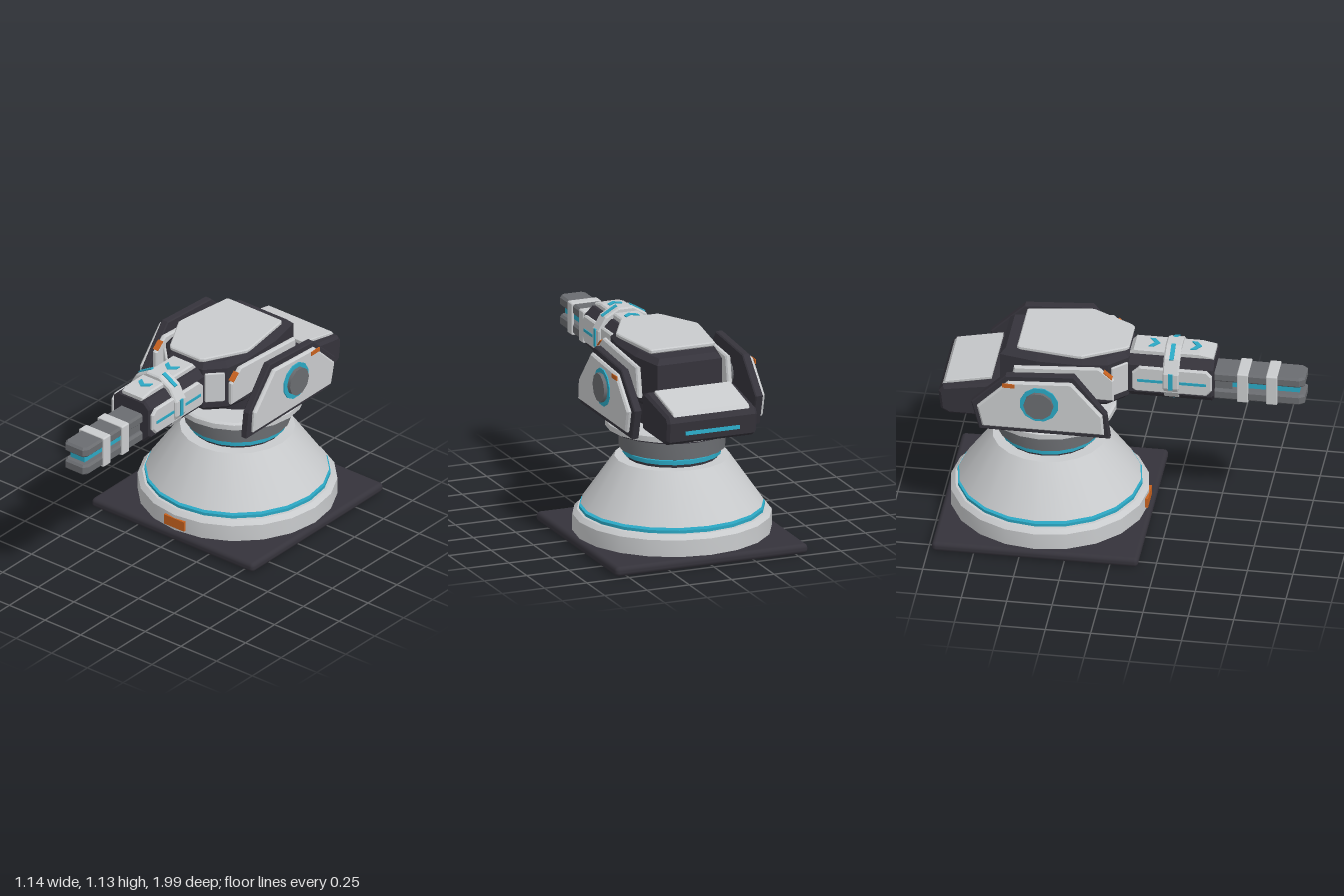
import * as THREE from 'three';
import { RoundedBoxGeometry } from 'three/addons/geometries/RoundedBoxGeometry.js';
import { toCreasedNormals } from 'three/addons/utils/BufferGeometryUtils.js';

const mat = (name, color) => Object.assign(new THREE.MeshStandardMaterial({ color }), { name });

export function createModel() {
  const light = mat('light grey', 0xc9cbcd), dark = mat('charcoal', 0x35333b);
  const grey = mat('mid grey', 0x6a6c70), teal = mat('teal', 0x2ba8c4), orange = mat('orange', 0xc8621f);
  const model = new THREE.Group();
  model.name = 'turret';
  const CZ = -0.412; // turning axis

  const add = (name, geo, m, x = 0, y = 0, z = 0) => {
    const mesh = new THREE.Mesh(geo, m);
    mesh.name = name;
    mesh.position.set(x, y, z);
    model.add(mesh);
    return mesh;
  };
  const box = (w, h, d) => new THREE.BoxGeometry(w, h, d);
  const rbox = (w, h, d, r) => new RoundedBoxGeometry(w, h, d, 2, r);

  // bevelled slab from an outline, centred on its depth
  const slab = (pts, depth, bevel = 0.01, hole) => {
    const shape = new THREE.Shape(pts.map(([a, b]) => new THREE.Vector2(a, b)));
    if (hole) shape.holes.push(new THREE.Path(hole.map(([a, b]) => new THREE.Vector2(a, b))));
    const g = new THREE.ExtrudeGeometry(shape, {
      depth: depth - 2 * bevel, bevelEnabled: bevel > 0, bevelSize: bevel,
      bevelThickness: bevel, bevelOffset: -bevel, bevelSegments: 1,
    });
    return g.translate(0, 0, -(depth - 2 * bevel) / 2);
  };
  const side = (...a) => slab(...a).rotateY(-Math.PI / 2); // outline in (z, y)
  const plan = (...a) => slab(...a).rotateX(Math.PI / 2);  // outline in (x, z)
  const mirrorPts = (pts) => [...pts, ...pts.map(([a, b]) => [-a, b]).reverse()];
  const ngon = (r, n) => Array.from({ length: n }, (_, i) => {
    const t = ((i + 0.5) / n) * Math.PI * 2;
    return [r * Math.cos(t), r * Math.sin(t)];
  });

  // pedestal: stacked turned parts
  const turned = (name, m, pts) => add(name, toCreasedNormals(
    new THREE.LatheGeometry(pts.map(([r, y]) => new THREE.Vector2(r, y)), 20), 0.5), m, 0, 0, CZ);
  const disc = (name, m, r, y0, y1) => turned(name, m, [[0, y0], [r, y0], [r, y1], [0, y1]]);

  add('basePlate', rbox(1.137, 0.056, 1.137, 0.024), dark, 0, 0.028, CZ);
  turned('baseRing', light, [[0, 0.05], [0.545, 0.05], [0.545, 0.15], [0.52, 0.174], [0, 0.174]]);
  disc('baseGap', dark, 0.44, 0.17, 0.212);
  disc('baseLightRing', teal, 0.508, 0.178, 0.195);
  turned('cone', light, [[0, 0.208], [0.5, 0.208], [0.315, 0.474], [0, 0.474]]);
  disc('neck', dark, 0.252, 0.47, 0.535);
  disc('neckLightRing', teal, 0.27, 0.494, 0.517);
  disc('collar', grey, 0.292, 0.53, 0.63);
  disc('turntableUnderside', dark, 0.345, 0.638, 0.65);
  disc('turntableNeck', dark, 0.22, 0.62, 0.64);
  turned('turntable', light, [[0, 0.65], [0.365, 0.65], [0.365, 0.68], [0.352, 0.69], [0, 0.69]]);
  disc('pivot', dark, 0.21, 0.688, 0.83);
  add('baseMarker', box(0.14, 0.058, 0.03), orange, 0, 0.102, CZ + 0.535);

  // main body and its roof plate
  add('body', plan(mirrorPts([[0.12, 0.04], [0.215, -0.06], [0.24, -0.2], [0.235, -0.45], [0.19, -0.66]]), 0.3, 0.03), dark, 0, 0.95, 0);
  add('roofPlate', plan(mirrorPts([[0.1, 0.04], [0.12, 0.025], [0.242, -0.2], [0.24, -0.24], [0.195, -0.55], [0.185, -0.565]]), 0.025, 0.006), light, 0, 1.122, 0);

  // counterweight behind the body
  add('counterweight', side([[-0.62, 0.705], [-0.93, 0.705], [-0.975, 0.73], [-0.988, 0.84], [-0.965, 0.875], [-0.66, 0.925], [-0.62, 0.91]], 0.53, 0.015), dark);
  add('counterweightPlate', side([[-0.7, 0.925], [-0.7, 0.945], [-0.955, 0.892], [-0.97, 0.87]], 0.45, 0.004), light);
  const tail = add('tailLight', box(0.32, 0.022, 0.008), teal, 0, 0.775, -0.982);
  tail.rotation.x = 0.12;

  // mirrored cheeks, side shields and axles
  const shieldPts = [[-0.025, 0.7], [-0.045, 0.85], [-0.225, 1.08], [-0.6, 1.055], [-0.79, 0.87], [-0.745, 0.7]];
  const facePts = [[-0.055, 0.735], [-0.065, 0.855], [-0.235, 1.05], [-0.585, 1.03], [-0.755, 0.86], [-0.725, 0.735]];
  for (const s of [-1, 1]) {
    const cheek = add('cheekPlate', side([[-0.02, 0.88], [-0.02, 1.01], [-0.1, 1.08], [-0.57, 1.05], [-0.6, 0.88]], 0.03, 0.008), light, s * 0.265, 0, 0);
    cheek.geometry.computeVertexNormals();
    const mark = add('cheekMarker', box(0.034, 0.006, 0.06), orange, s * 0.265, 1.04, -0.053);
    mark.rotation.x = Math.atan2(0.07, 0.08);
    const corner = add('frontCornerPlate', rbox(0.11, 0.18, 0.016, 0.007), light, s * 0.172, 0.96, -0.004);
    corner.rotation.y = s * 0.81;

    add('sideShield', side(shieldPts, 0.045, 0.006), dark, s * 0.358, 0, 0);
    add('shieldFace', side(facePts, 0.03, 0.01), light, s * 0.393, 0, 0);
    add('shieldMarker', box(0.006, 0.024, 0.07), orange, s * 0.409, 1.01, -0.58);
    add('hubRing', side(ngon(0.107, 12), 0.012, 0, ngon(0.076, 12)), teal, s * 0.409, 0.906, CZ + 0.002);
    const axle = (name, r, len, x) => add(name, new THREE.CylinderGeometry(r, r, len, 10).rotateZ(Math.PI / 2), grey, s * x, 0.906, CZ);
    axle('hub', 0.082, 0.05, 0.41);
    axle('axleFlange', 0.07, 0.05, 0.322);
    axle('axle', 0.045, 0.12, 0.26);

    // gun side armour with glowing stripe
    add('gunSidePlate', side([[0.06, 0.89], [0.06, 0.99], [0.1, 1.03], [0.47, 1.03], [0.5, 1.0], [0.5, 0.91], [0.47, 0.875], [0.08, 0.875]], 0.026, 0.008), light, s * 0.136, 0, 0);
    add('gunSideStripe', box(0.006, 0.016, 0.38), teal, s * 0.15, 0.947, 0.28);
  }

  // gun sleeve
  add('gunSleeve', slab(mirrorPts([[0.08, 0.81], [0.13, 0.86], [0.13, 1.03], [0.09, 1.07]]), 0.5, 0.012), dark, 0, 0, 0.255);
  add('gunTopPlate', side([[0.03, 1.065], [0.06, 1.1], [0.42, 1.1], [0.5, 1.085], [0.5, 1.065]], 0.15, 0.008), light);
  for (const z of [0.165, 0.395]) {
    const w = 0.04, t = 0.03;
    add('chevron', plan([[-w, -0.03], [0, 0.0], [w, -0.03], [w, -0.03 + t], [0, t], [-w, -0.03 + t]], 0.006, 0), teal, 0, 1.102, z);
  }

  // faceted band around the sleeve with light patches
  const GY = 0.96;
  add('gunBand', slab(ngon(0.17, 12), 0.09, 0.008, ngon(0.125, 12)), light, 0, GY, 0.275);
  for (const deg of [0, 60, 120, 180, 270]) {
    const a = (deg * Math.PI) / 180, r = 0.166;
    const patch = add('bandLight', box(0.008, 0.1, 0.024), teal, r * Math.cos(a), GY + r * Math.sin(a), 0.275);
    patch.rotation.z = a;
  }

  // twin rails with energy core and clamps
  const railPts = mirrorPts([[0.08, 0.46], [0.08, 0.97], [0.06, 1.0]]);
  add('upperRail', plan(railPts, 0.06, 0.012), grey, 0, 0.96, 0);
  add('lowerRail', plan(railPts, 0.062, 0.012), grey, 0, 0.85, 0);
  add('energyCore', box(0.1, 0.036, 0.48), teal, 0, 0.906, 0.73);
  add('railRoot', box(0.12, 0.12, 0.12), grey, 0, 0.905, 0.54);
  for (const z of [0.66, 0.82]) {
    for (const s of [-1, 1]) {
      add('clampSide', rbox(0.016, 0.178, 0.062, 0.006), light, s * 0.08, 0.905, z);
      add('clampBar', rbox(0.17, 0.014, 0.062, 0.006), light, 0, 0.905 + s * 0.084, z);
    }
  }
  return model;
}
